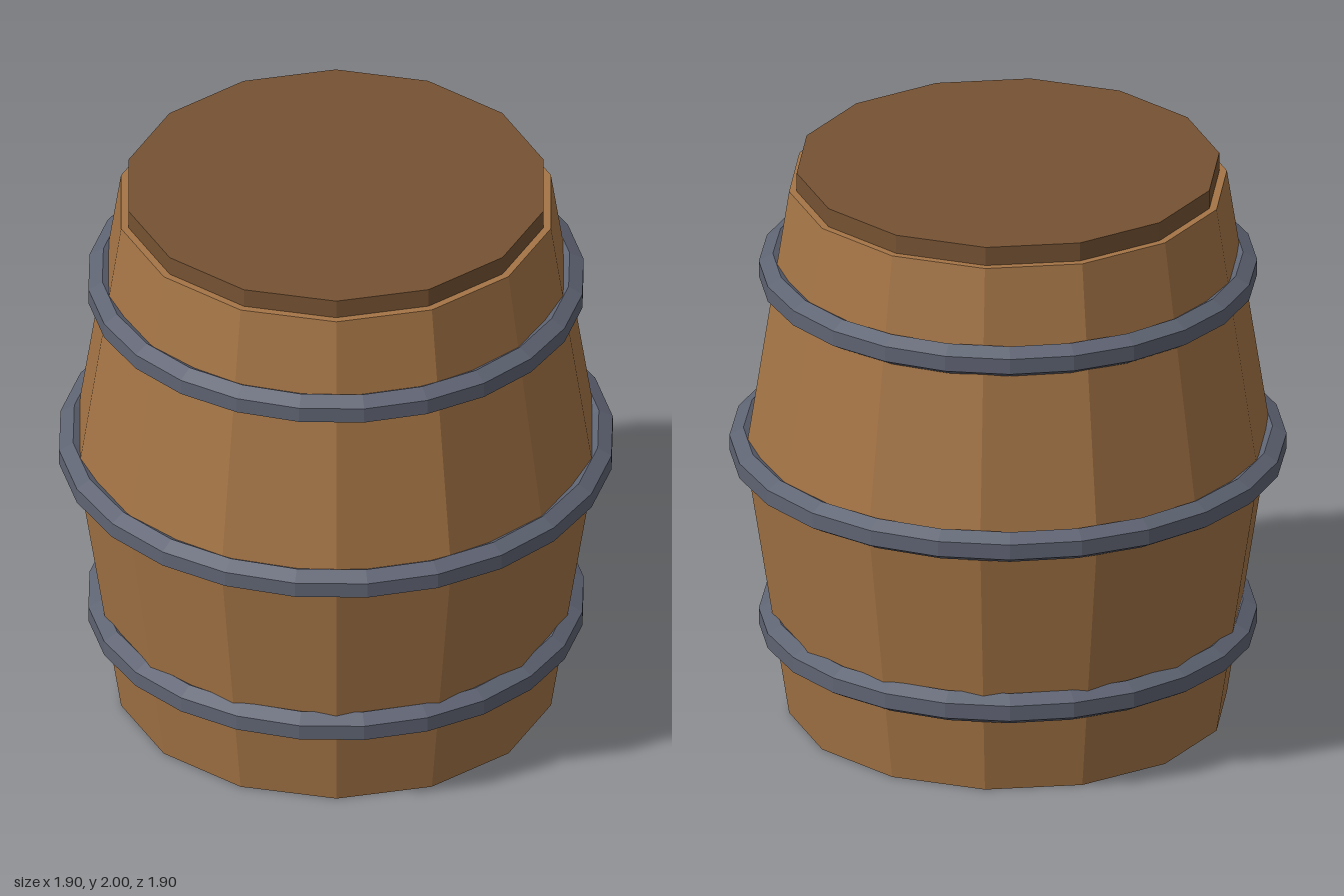
import * as THREE from 'three';

const SIDES = 14;

function makeMaterial(name, color) {
  const m = new THREE.MeshStandardMaterial({ color, flatShading: true });
  m.name = name;
  return m;
}

// Revolve [radius, height] pairs, listed upwards along the outside
function revolve(name, pairs, segments, material) {
  const points = pairs.map(([r, y]) => new THREE.Vector2(r, y));
  const mesh = new THREE.Mesh(new THREE.LatheGeometry(points, segments, Math.PI / 2), material);
  mesh.name = name;
  return mesh;
}

export function createModel() {
  const group = new THREE.Group();
  group.name = 'barrel';
  const wood = makeMaterial('wood', 0xa57546);
  const darkWood = makeMaterial('dark wood', 0x755232);
  const iron = makeMaterial('iron', 0x5f6473);

  // Bulging staves with closed ends
  group.add(revolve('staves', [[0, 0], [0.75, 0], [0.9, 0.967], [0.75, 1.933], [0, 1.933]], SIDES, wood));

  // Raised lid
  group.add(revolve('lid', [[0.724, 1.92], [0.724, 2], [0, 2]], SIDES, darkWood));

  // Hoops with a hexagonal section
  const hoops = [['lowerHoop', 0.8, 0.325], ['middleHoop', 0.9, 0.967], ['upperHoop', 0.8, 1.612]];
  for (const [name, radius, y] of hoops) {
    const section = [];
    for (let i = 0; i <= 6; i++) {
      const a = Math.PI / 6 + (i * Math.PI) / 3;
      section.push([radius + 0.055 * Math.cos(a), y + 0.055 * Math.sin(a)]);
    }
    group.add(revolve(name, section, 24, iron));
  }
  return group;
}
